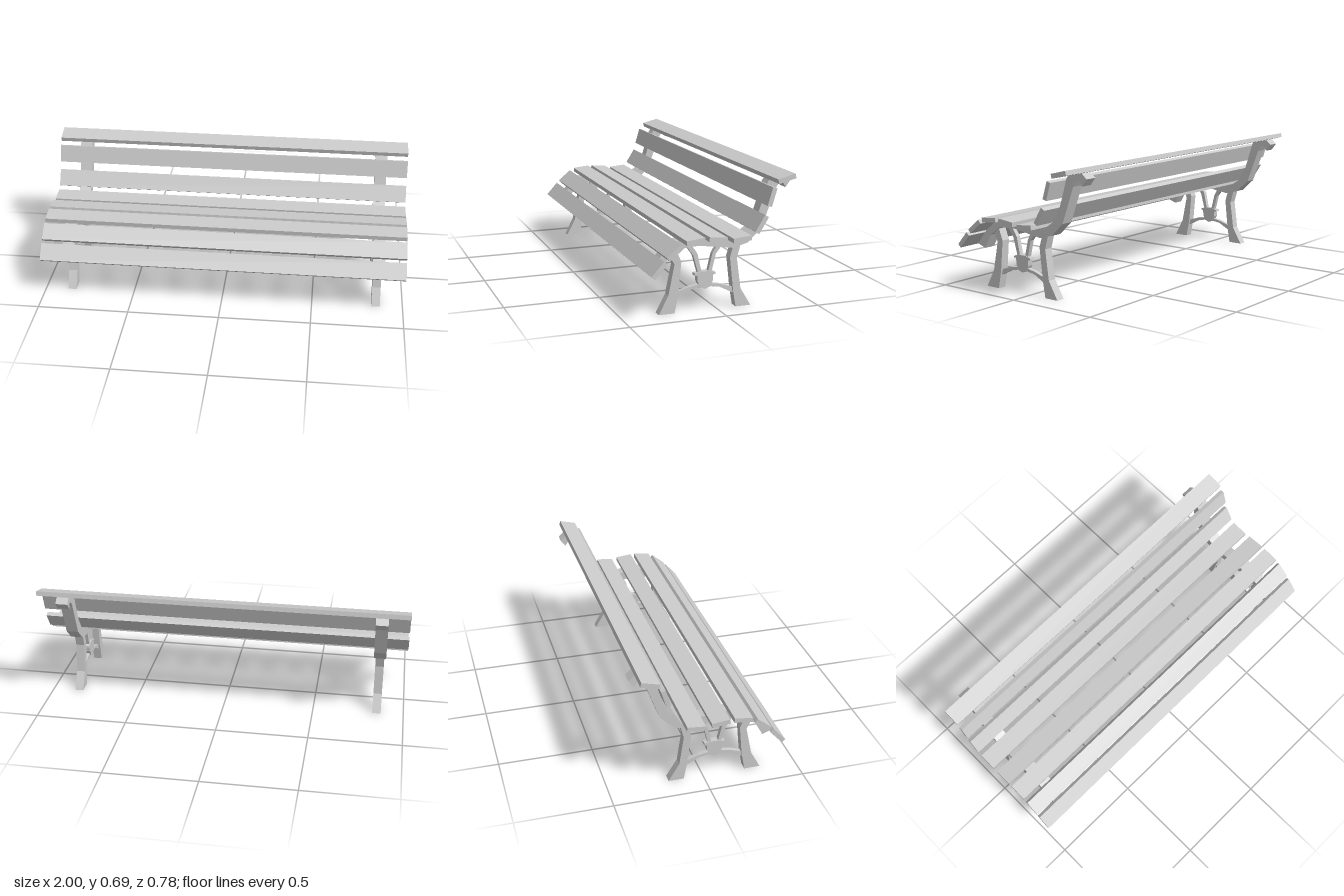
import * as THREE from 'three';

const material = new THREE.MeshStandardMaterial({ color: 0xcccccc, flatShading: true });

// Flat casting cut from a [z, y] outline, with its thickness centred on x = 0
function casting(name, outline, thickness) {
  const shape = new THREE.Shape(outline.map(([z, y]) => new THREE.Vector2(z, y)));
  const geometry = new THREE.ExtrudeGeometry(shape, { depth: thickness, bevelEnabled: false });
  geometry.translate(0, 0, -thickness / 2);
  geometry.rotateY(-Math.PI / 2);
  const mesh = new THREE.Mesh(geometry, material);
  mesh.name = name;
  return mesh;
}

// Curved rail carrying the seat and back slats
const RAIL = [
  [0.361, 0.224], [0.311, 0.206], [0.269, 0.282], [0.253, 0.292], [0.201, 0.33], [0.102, 0.336],
  [-0.081, 0.309], [-0.159, 0.33], [-0.232, 0.399], [-0.303, 0.591], [-0.321, 0.62],
  [-0.344, 0.624], [-0.359, 0.597], [-0.388, 0.635], [-0.359, 0.661], [-0.269, 0.641],
  [-0.257, 0.62], [-0.23, 0.528], [-0.215, 0.482], [-0.167, 0.399], [-0.127, 0.372],
  [-0.033, 0.364], [0.002, 0.372], [0.096, 0.384], [0.209, 0.372], [0.224, 0.368], [0.299, 0.303],
];
const FRONT_LEG = [
  [0.251, 0.293], [0.228, 0.248], [0.259, 0.094], [0.309, 0], [0.226, 0],
  [0.207, 0.1], [0.192, 0.259], [0.217, 0.322], [0.21, 0.34],
];
const BACK_LEG = [
  [-0.084, 0.315], [-0.067, 0.259], [-0.088, 0.077], [-0.102, 0], [-0.183, 0],
  [-0.127, 0.094], [-0.105, 0.253], [-0.125, 0.325],
];
const FRONT_BRACE = [
  [0.165, 0.34], [0.125, 0.284], [0.098, 0.19], [0.079, 0.19], [0.102, 0.29], [0.136, 0.34],
];
const BACK_BRACE = [
  [-0.004, 0.33], [0.023, 0.284], [0.046, 0.19], [0.027, 0.19], [0.004, 0.282], [-0.031, 0.325],
];
const FRONT_TIE = [
  [0.207, 0.104], [0.15, 0.123], [0.085, 0.134], [0.085, 0.118], [0.142, 0.109], [0.213, 0.073],
];
const BACK_TIE = [
  [-0.09, 0.1], [-0.019, 0.123], [0.04, 0.134], [0.04, 0.118], [-0.017, 0.109], [-0.09, 0.071],
];
const SHIELD = [
  [0.119, 0.18], [0.115, 0.19], [0.096, 0.194], [0.085, 0.198], [0.038, 0.198], [0.025, 0.194],
  [0.008, 0.19], [0.006, 0.18], [0.019, 0.177], [0.021, 0.148], [0.035, 0.119],
  [0.062, 0.107], [0.09, 0.119], [0.102, 0.148], [0.104, 0.178],
];

function endFrame(name, x) {
  const frame = new THREE.Group();
  frame.name = name;
  frame.position.x = x;
  frame.add(
    casting('rail', RAIL, 0.066),
    casting('frontLeg', FRONT_LEG, 0.047),
    casting('backLeg', BACK_LEG, 0.047),
    casting('frontBrace', FRONT_BRACE, 0.024),
    casting('backBrace', BACK_BRACE, 0.024),
    casting('frontTie', FRONT_TIE, 0.024),
    casting('backTie', BACK_TIE, 0.024),
    casting('shield', SHIELD, 0.034),
  );
  return frame;
}

// Slat centres [z, y] and upward tilt towards the back, in degrees
const SLATS = [
  ['seatSlat', 0.35, 0.263, 48],
  ['seatSlat', 0.268, 0.343, 39],
  ['seatSlat', 0.164, 0.389, 6],
  ['seatSlat', 0.048, 0.389, -6],
  ['seatSlat', -0.079, 0.38, 5],
  ['backSlat', -0.181, 0.446, 58],
  ['backSlat', -0.233, 0.578, 73],
  ['topSlat', -0.311, 0.664, 14],
];

export function createModel() {
  const bench = new THREE.Group();
  bench.name = 'bench';

  // Cast end frames
  bench.add(endFrame('leftFrame', 0.852), endFrame('rightFrame', -0.852));

  // Long planks across both frames
  const plank = new THREE.BoxGeometry(2, 0.024, 0.095);
  SLATS.forEach(([name, z, y, tilt], i) => {
    const slat = new THREE.Mesh(plank, material);
    slat.name = `${name}${i + 1}`;
    slat.position.set(0, y, z);
    slat.rotation.x = THREE.MathUtils.degToRad(tilt);
    bench.add(slat);
  });
  return bench;
}
